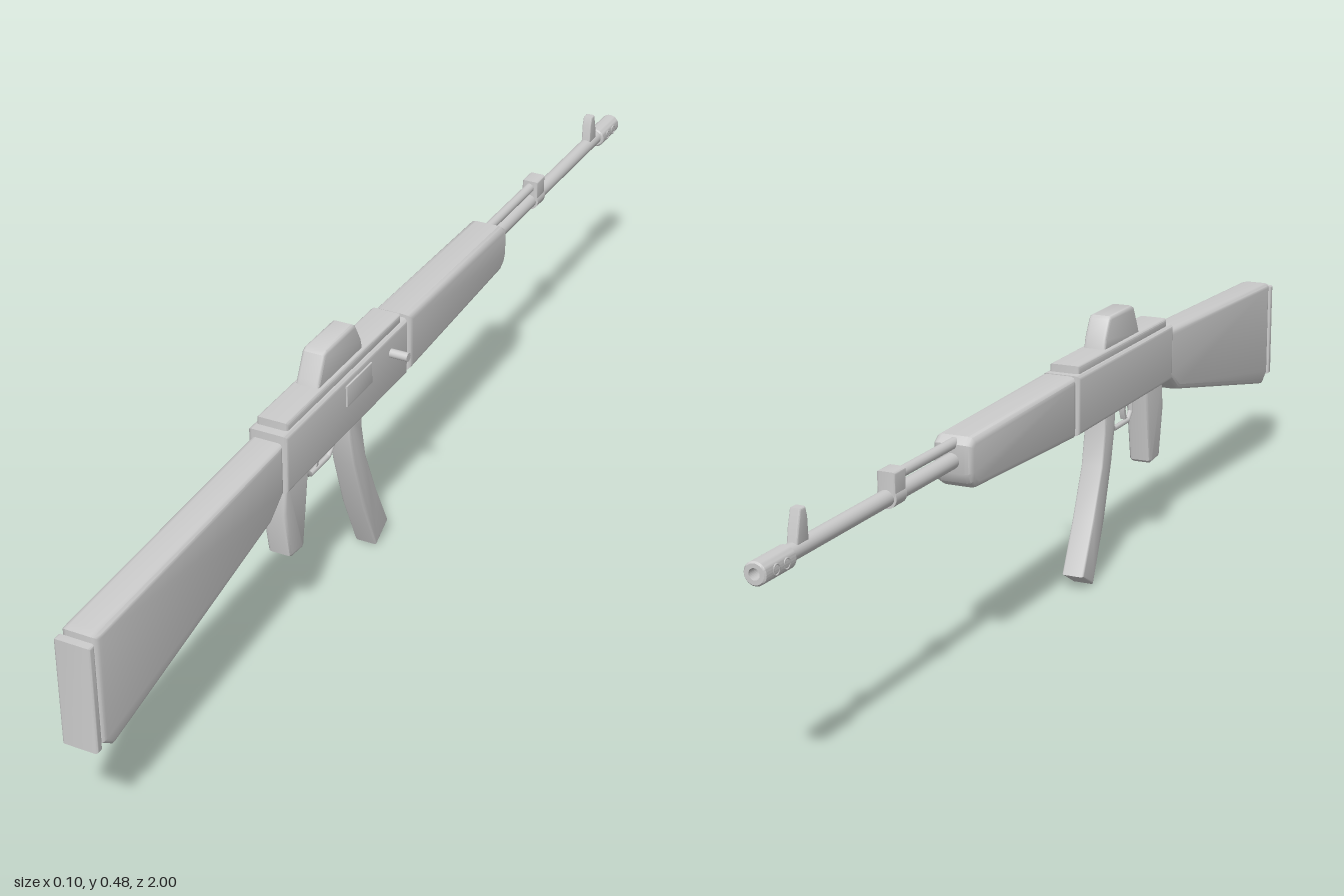
import * as THREE from 'three';
import { toCreasedNormals } from 'three/addons/utils/BufferGeometryUtils.js';

const CX = -0.0175; // centre line of the body

export function createModel() {
  const model = new THREE.Group();
  const grey = new THREE.MeshStandardMaterial({ color: 0xcccccc });
  grey.name = 'light grey';

  function add(name, geometry, x = 0, y = 0, z = 0) {
    const mesh = new THREE.Mesh(geometry, grey);
    mesh.name = name;
    mesh.position.set(x, y, z);
    model.add(mesh);
    return mesh;
  }

  // Side profile of [z, y] points, given a width in x and rounded edges.
  function slab(name, points, width, bevel, x = CX) {
    const shape = new THREE.Shape(points.map(([z, y]) => new THREE.Vector2(-z, y)));
    const depth = width - 2 * bevel;
    const geometry = new THREE.ExtrudeGeometry(shape, {
      depth, bevelEnabled: bevel > 0, bevelThickness: bevel,
      bevelSize: bevel, bevelOffset: -bevel, bevelSegments: 3,
    });
    geometry.translate(0, 0, -depth / 2).rotateY(Math.PI / 2);
    return add(name, toCreasedNormals(geometry, 0.6), x);
  }

  const rect = (z0, z1, y0, y1) => [[z0, y0], [z1, y0], [z1, y1], [z0, y1]];

  // Round part along z
  function rod(name, radius, z0, z1, y, sides = 24) {
    const geometry = new THREE.CylinderGeometry(radius, radius, Math.abs(z1 - z0), sides);
    return add(name, geometry.rotateX(Math.PI / 2), CX, y, (z0 + z1) / 2);
  }

  // Stock and butt pad
  slab('stock', [[0.435, 0.402], [0.435, 0.312], [0.48, 0.278], [0.955, 0.175],
    [0.982, 0.195], [0.982, 0.385], [0.965, 0.387]], 0.06, 0.01);
  slab('buttPad', rect(1, 0.986, 0.19, 0.378), 0.061, 0.004);
  slab('buttPadSpacer', rect(0.99, 0.975, 0.196, 0.372), 0.05, 0.002);

  // Receiver, its cover and the sight on top
  slab('receiver', rect(0.437, 0.004, 0.308, 0.416), 0.07, 0.008);
  slab('receiverJoint', rect(0.02, -0.02, 0.318, 0.406), 0.056, 0.004);
  slab('topCover', rect(0.42, 0.018, 0.41, 0.43), 0.056, 0.005);
  slab('rearSight', [[0.305, 0.425], [0.145, 0.425], [0.15, 0.448], [0.168, 0.48],
    [0.175, 0.485], [0.27, 0.485], [0.28, 0.48], [0.3, 0.44]], 0.042, 0.006);
  slab('ejectionPort', rect(0.235, 0.145, 0.364, 0.403), 0.006, 0.001, 0.0175);

  // Bolt handle
  const bolt = new THREE.CylinderGeometry(0.008, 0.008, 0.05, 16).rotateZ(Math.PI / 2);
  add('boltHandle', bolt, 0.026, 0.382, 0.07);

  // Grip
  slab('grip', [[0.418, 0.315], [0.424, 0.257], [0.408, 0.167], [0.402, 0.163],
    [0.368, 0.16], [0.362, 0.165], [0.338, 0.315]], 0.044, 0.007);

  // Curved magazine
  slab('magazine', [[0.198, 0.315], [0.195, 0.275], [0.181, 0.214], [0.148, 0.11], [0.101, 0.003],
    [0.055, 0.03], [0.1, 0.123], [0.138, 0.214], [0.15, 0.275], [0.151, 0.315]], 0.042, 0.004);

  // Trigger guard and trigger
  const guardPath = new THREE.CurvePath();
  const guardPoints = [[0.315, 0.315], [0.316, 0.275], [0.3, 0.259], [0.235, 0.259], [0.217, 0.275], [0.216, 0.315]]
    .map(([z, y]) => new THREE.Vector3(0, y, z));
  for (let i = 1; i < guardPoints.length; i++) {
    guardPath.add(new THREE.LineCurve3(guardPoints[i - 1], guardPoints[i]));
  }
  add('triggerGuard', new THREE.TubeGeometry(guardPath, 48, 0.005, 8), CX);
  slab('trigger', [[0.287, 0.315], [0.281, 0.285], [0.286, 0.266], [0.279, 0.266],
    [0.271, 0.285], [0.272, 0.315]], 0.01, 0.001);

  // Handguard, narrowing to the front
  slab('handguard', [[-0.004, 0.417], [-0.004, 0.307], [-0.385, 0.324], [-0.402, 0.335],
    [-0.41, 0.352], [-0.41, 0.4], [-0.395, 0.411]], 0.07, 0.012);

  // Barrel, gas tube and gas block
  rod('barrel', 0.0135, -0.39, -0.93, 0.372);
  rod('gasTube', 0.009, -0.39, -0.6, 0.4, 16);
  slab('gasBlock', rect(-0.588, -0.626, 0.374, 0.414), 0.031, 0.004);
  rod('gasBlockRing', 0.0175, -0.59, -0.624, 0.372);

  // Front sight post
  slab('frontSight', [[-0.866, 0.38], [-0.868, 0.418], [-0.873, 0.433], [-0.888, 0.433],
    [-0.896, 0.405], [-0.9, 0.38]], 0.018, 0.003);

  // Hollow muzzle piece with side ports
  const profile = [[0, 0.02], [0.009, 0.02], [0.009, 0.085], [0.016, 0.085], [0.0185, 0.082],
    [0.0185, 0.003], [0.016, 0], [0, 0]].map(([r, h]) => new THREE.Vector2(r, h)).reverse();
  const muzzle = new THREE.LatheGeometry(profile, 28).rotateX(-Math.PI / 2);
  add('muzzle', toCreasedNormals(muzzle, 0.6), CX, 0.37, -0.915);
  for (const side of [-1, 1]) {
    for (const z of [-0.942, -0.97]) {
      const port = new THREE.TorusGeometry(0.008, 0.0015, 6, 18).rotateY(Math.PI / 2);
      add('muzzlePort', port, CX + side * 0.0172, 0.37, z);
    }
  }

  return model;
}
